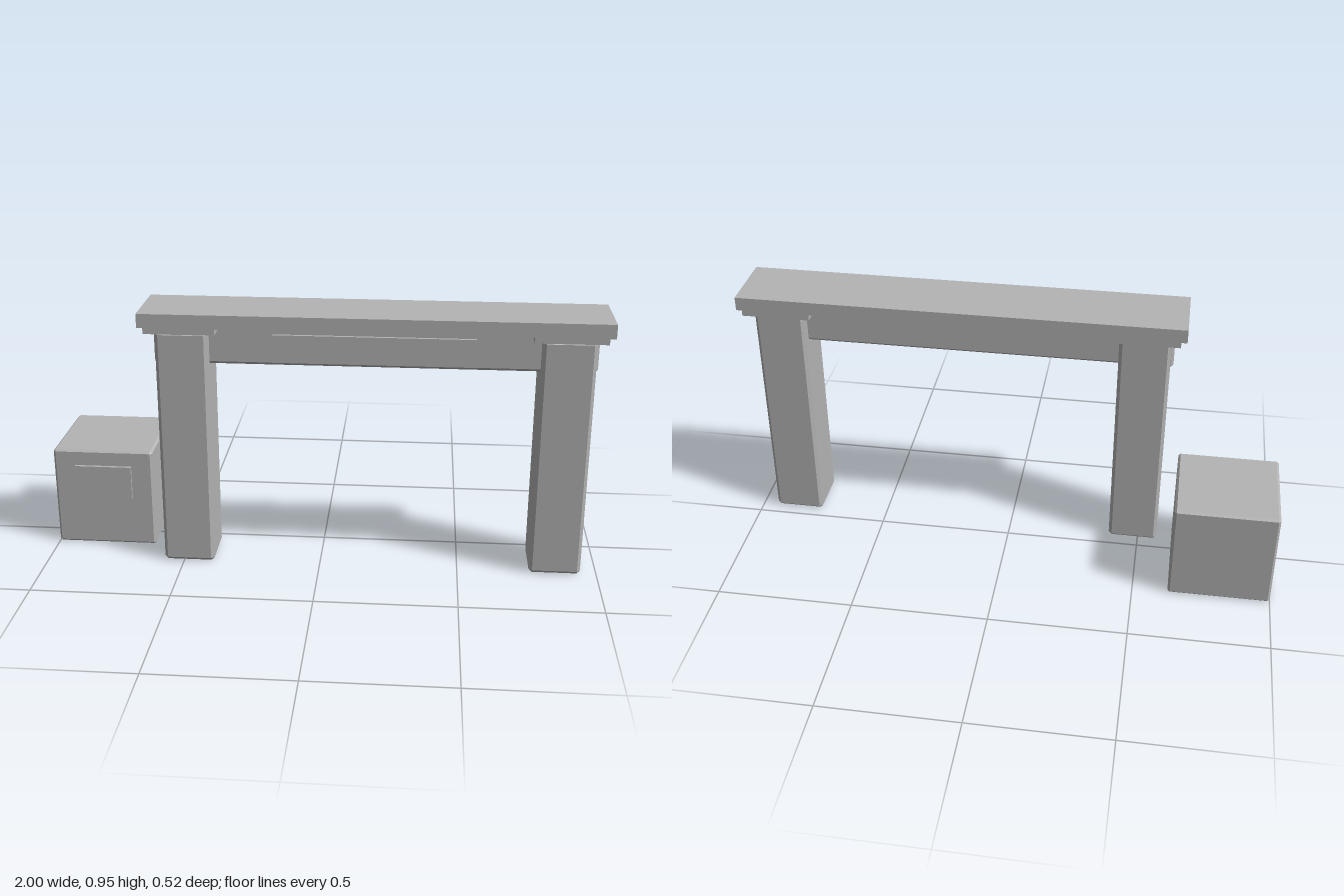
import * as THREE from 'three';
import { ConvexGeometry } from 'three/addons/geometries/ConvexGeometry.js';

// Box with every edge chamfered by b, spanning min..max
function chamferBox(min, max, b) {
  const c = min.map((v, i) => (v + max[i]) / 2);
  const h = min.map((v, i) => (max[i] - v) / 2);
  const pts = [];
  for (const sx of [-1, 1]) for (const sy of [-1, 1]) for (const sz of [-1, 1]) {
    const s = [sx, sy, sz];
    for (let full = 0; full < 3; full++) {
      pts.push(new THREE.Vector3(...s.map((k, i) => c[i] + k * (h[i] - (i === full ? 0 : b)))));
    }
  }
  return new ConvexGeometry(pts);
}

function plainBox(min, max) {
  const g = new THREE.BoxGeometry(...min.map((v, i) => max[i] - v));
  return g.translate(...min.map((v, i) => (v + max[i]) / 2));
}

export function createModel() {
  const group = new THREE.Group();
  const stone = new THREE.MeshStandardMaterial({ color: 0xb4b4b4 });
  stone.name = 'grey stone';

  const add = (name, geometry) => {
    const mesh = new THREE.Mesh(geometry, stone);
    mesh.name = name;
    group.add(mesh);
  };

  const cx = 0.185; // centre line of the gateway

  // Two chamfered posts
  for (const [side, name] of [[-1, 'rightPost'], [1, 'leftPost']]) {
    const x = cx + side * 0.665;
    add(name, chamferBox([x - 0.092, 0, 0.043], [x + 0.092, 0.877, 0.231], 0.012));
  }

  // Tie beam running through both posts, with a raised panel in front
  add('tieBeam', chamferBox([cx - 0.768, 0.752, 0.083], [cx + 0.768, 0.887, 0.189], 0.01));
  add('beamPanel', plainBox([-0.167, 0.765, 0.18], [0.537, 0.865, 0.2]));

  // Top lintel, stepped underneath at both ends
  const half = [[0.81, 0.948], [0.81, 0.898], [0.789, 0.898], [0.789, 0.877], [0.541, 0.877], [0.541, 0.898]];
  const outline = [
    ...half.map(([x, y]) => new THREE.Vector2(cx - x, y)),
    ...half.slice().reverse().map(([x, y]) => new THREE.Vector2(cx + x, y)),
  ];
  const lintel = new THREE.ExtrudeGeometry(new THREE.Shape(outline), { depth: 0.25, bevelEnabled: false });
  add('lintel', lintel.translate(0, 0, 0.011));

  // Separate block with a small plate on its front
  add('block', chamferBox([-1, 0, -0.26], [-0.63, 0.375, 0.108], 0.008));
  add('blockPlate', plainBox([-0.92, 0.19, 0.1], [-0.71, 0.315, 0.119]));

  return group;
}
